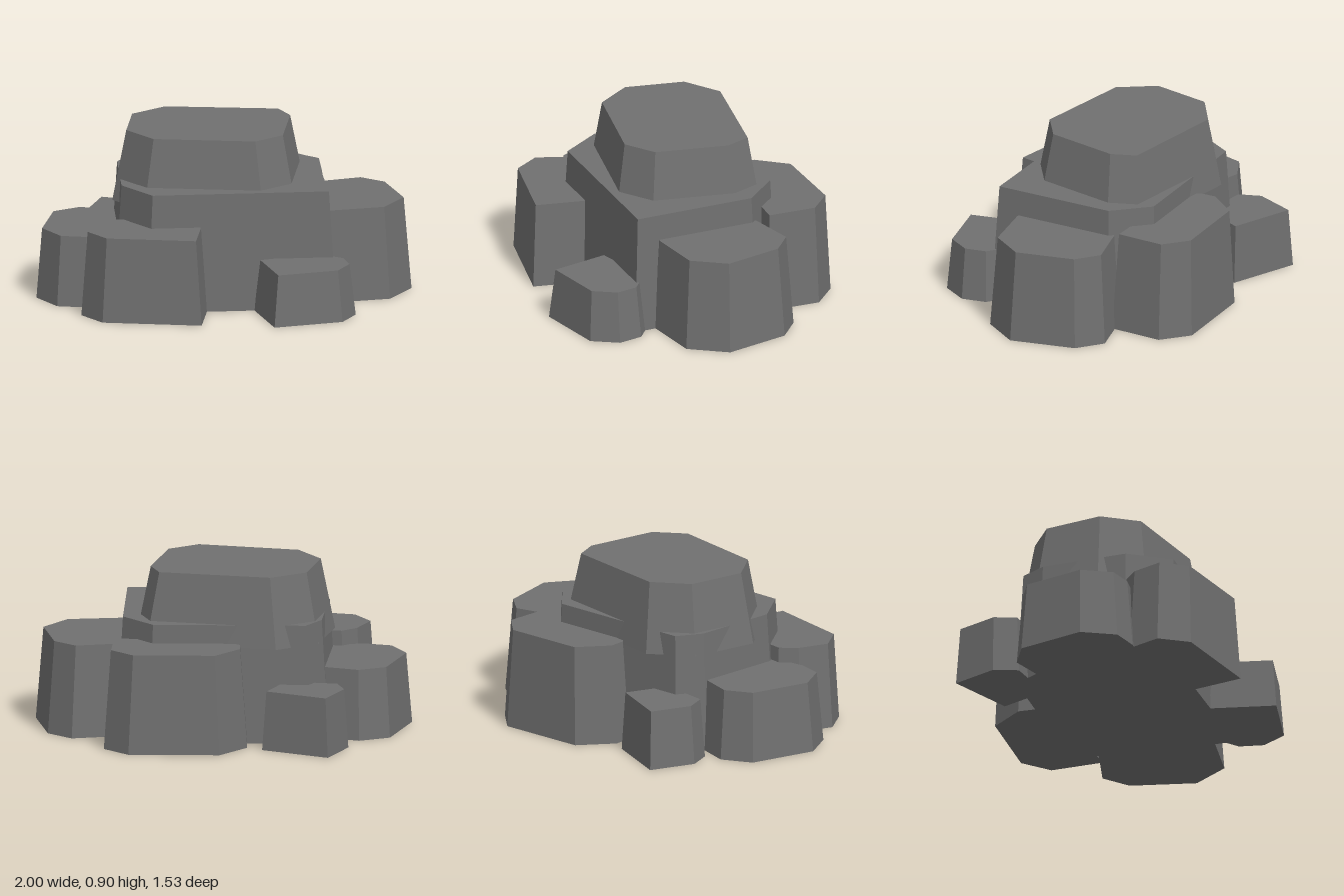
import * as THREE from 'three';

// Tapered stone: a flat top outline of [x, z] points that flares about its middle towards the base.
function stoneGeometry(top, y0, y1, flare) {
  const outline = top.map(([x, z]) => new THREE.Vector2(x, z));
  if (THREE.ShapeUtils.isClockWise(outline)) outline.reverse();
  const middle = new THREE.Box2().setFromPoints(outline).getCenter(new THREE.Vector2());
  const upper = outline.map((p) => [p.x, y1, p.y]);
  const lower = outline.map((p) => {
    const q = p.clone().sub(middle).multiplyScalar(flare).add(middle);
    return [q.x, y0, q.y];
  });
  const pos = [];
  const face = (a, b, c) => pos.push(...a, ...b, ...c);

  // top and bottom
  for (const [a, b, c] of THREE.ShapeUtils.triangulateShape(outline, [])) {
    face(upper[a], upper[c], upper[b]);
    face(lower[a], lower[b], lower[c]);
  }
  // sloping sides
  for (let i = 0; i < outline.length; i++) {
    const j = (i + 1) % outline.length;
    face(lower[i], upper[i], upper[j]);
    face(lower[i], upper[j], lower[j]);
  }
  const geo = new THREE.BufferGeometry();
  geo.setAttribute('position', new THREE.Float32BufferAttribute(pos, 3));
  geo.computeVertexNormals();
  return geo;
}

export function createModel() {
  const group = new THREE.Group();
  group.name = 'rockCluster';
  const grey = new THREE.MeshStandardMaterial({ color: 0x707070 });
  grey.name = 'greyStone';

  const addStone = (name, height, top, flare = 1.11, base = 0) => {
    const mesh = new THREE.Mesh(stoneGeometry(top, base, height, flare), grey);
    mesh.name = name;
    group.add(mesh);
  };

  // central boulder with a second one resting on it
  addStone('mainBoulder', 0.64, [[-0.39, 0.43], [0.55, 0.37], [0.5, -0.29], [0.32, -0.46],
    [-0.49, -0.39], [-0.56, -0.25], [-0.55, 0.22]], 1.07);
  addStone('capBoulder', 0.9, [[-0.3, -0.4], [0.3, -0.34], [0.36, -0.21], [0.31, 0.185],
    [0.16, 0.305], [-0.38, 0.24], [-0.52, 0.06], [-0.48, -0.26]], 1.17, 0.52);

  // ring of lower stones; their inner ends run into the main boulder
  addStone('leftStone', 0.5, [[0.74, -0.4], [0.865, -0.31], [0.958, 0], [0.85, 0.185],
    [0.56, 0.25], [0.2, 0.2], [0.49, -0.32]]);
  addStone('backStone', 0.54, [[-0.155, -0.54], [-0.04, -0.705], [0.395, -0.745],
    [0.525, -0.64], [0.535, -0.38], [-0.05, -0.36], [-0.145, -0.45]]);
  addStone('backRightStone', 0.32, [[-0.63, -0.695], [-0.3, -0.575], [-0.38, -0.34],
    [-0.655, -0.36], [-0.705, -0.475]]);
  addStone('rightStone', 0.38, [[-0.97, 0.125], [-0.9, -0.205], [-0.76, -0.285],
    [-0.42, -0.2], [-0.42, 0.25], [-0.74, 0.305], [-0.875, 0.28]]);
  addStone('frontRightStone', 0.46, [[-0.738, 0.488], [-0.64, 0.622], [-0.167, 0.69],
    [-0.133, 0.43], [-0.2, 0.28], [-0.61, 0.25], [-0.685, 0.325]]);
  addStone('frontLeftStone', 0.28, [[0.27, 0.735], [0.59, 0.645], [0.655, 0.52],
    [0.625, 0.405], [0.5, 0.32], [0.183, 0.43]], 1.14);

  return group;
}
